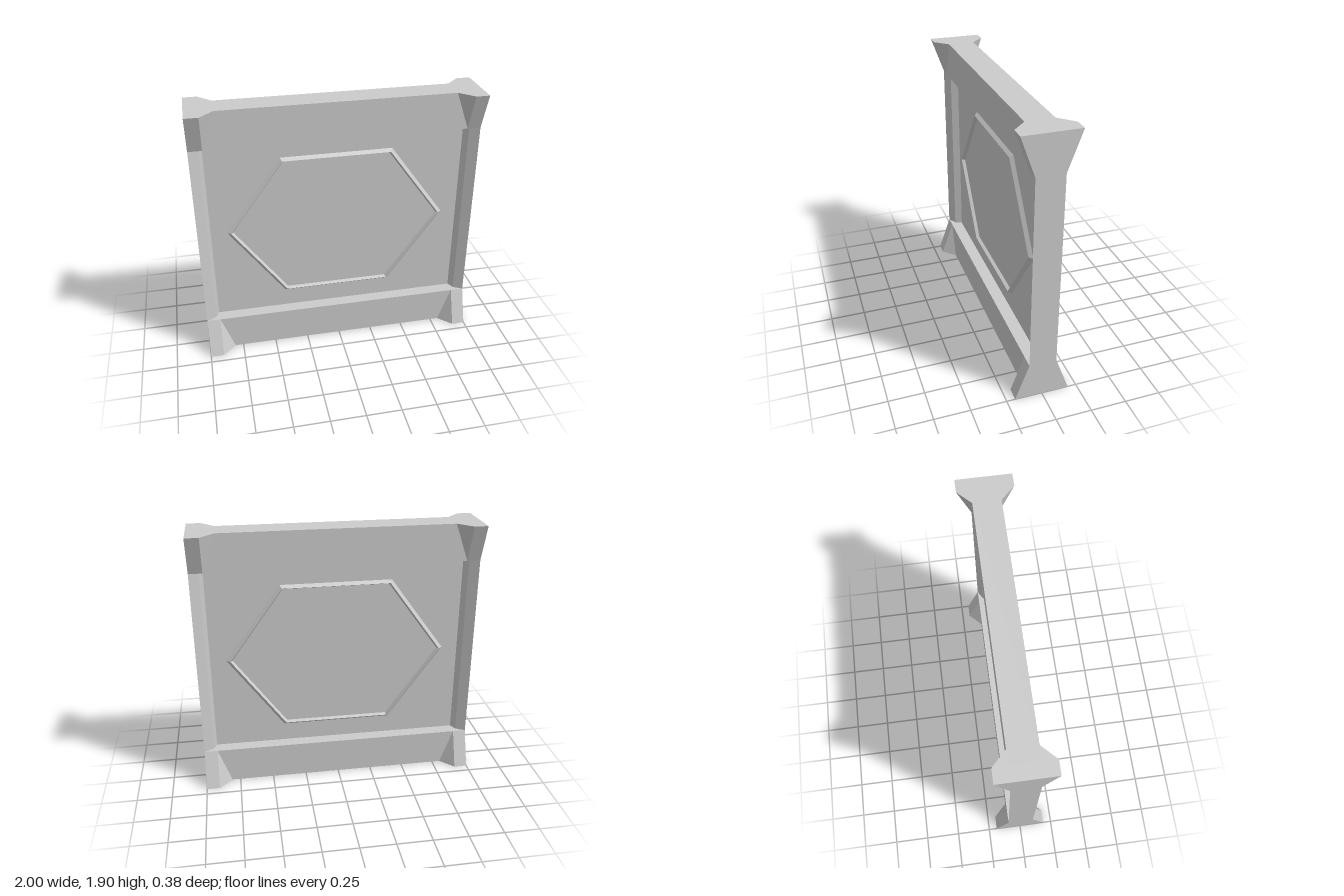
import * as THREE from 'three';
import { ConvexGeometry } from 'three/addons/geometries/ConvexGeometry.js';

const H = 1.905, BAR = 0.265, MID = H / 2;
const T = 0.095;   // half depth of the frame
const FLARE = 0.19; // half depth at the corners

export function createModel() {
  const group = new THREE.Group();
  const mat = new THREE.MeshStandardMaterial({ color: 0xcccccc, flatShading: true });
  const add = (name, geo, x = 0, y = 0, z = 0) => {
    const mesh = new THREE.Mesh(geo, mat);
    mesh.name = name;
    mesh.position.set(x, y, z);
    group.add(mesh);
    return mesh;
  };

  // Thin wall panel set deep inside the frame
  add('panel', new THREE.BoxGeometry(1.84, H - 2 * BAR + 0.04, 0.012), 0, MID, 0);

  // Top and bottom bars
  add('bottomBar', new THREE.BoxGeometry(1.81, BAR, 2 * T), 0, BAR / 2, 0);
  add('topBar', new THREE.BoxGeometry(1.81, BAR, 2 * T), 0, H - BAR / 2, 0);

  // Side posts: bevelled section run up between the corners
  for (const s of [1, -1]) {
    const pts = [[1, T], [0.933, 0.058], [0.905, 0], [0.933, -0.058], [1, -T]];
    const section = new THREE.Shape(pts.map(([x, z]) => new THREE.Vector2(s * x, z)));
    const geo = new THREE.ExtrudeGeometry(section, { depth: H - 2 * BAR, bevelEnabled: false });
    geo.rotateX(-Math.PI / 2);
    add(s > 0 ? 'leftPost' : 'rightPost', geo, 0, BAR, 0);
  }

  // Corner blocks flaring out towards the top and bottom ends
  for (const sx of [1, -1]) {
    for (const sy of [1, -1]) {
      const pts = [];
      for (const sz of [1, -1]) {
        const p = (x, y, z) => pts.push(new THREE.Vector3(sx * x, MID + sy * y, sz * z));
        p(1, MID, FLARE);
        p(0.905, MID, FLARE);
        p(0.81, MID, T);
        p(1, MID - BAR, T);
        p(0.905, MID - BAR, T);
      }
      add((sy > 0 ? 'top' : 'bottom') + (sx > 0 ? 'Left' : 'Right') + 'Corner', new ConvexGeometry(pts));
    }
  }

  // Raised hexagonal rim, showing on both faces of the panel
  const profile = [
    [0.765, -0.03], [0.795, -0.005], [0.795, 0.005], [0.765, 0.03],
    [0.75, 0.005], [0.75, -0.005], [0.765, -0.03],
  ].map(([r, h]) => new THREE.Vector2(r, h));
  const rim = new THREE.LatheGeometry(profile, 6, Math.PI / 2).toNonIndexed();
  rim.rotateX(Math.PI / 2);
  rim.scale(1, 0.8, 1);
  rim.computeVertexNormals();
  add('hexagonRim', rim, 0, MID, 0);

  return group;
}
